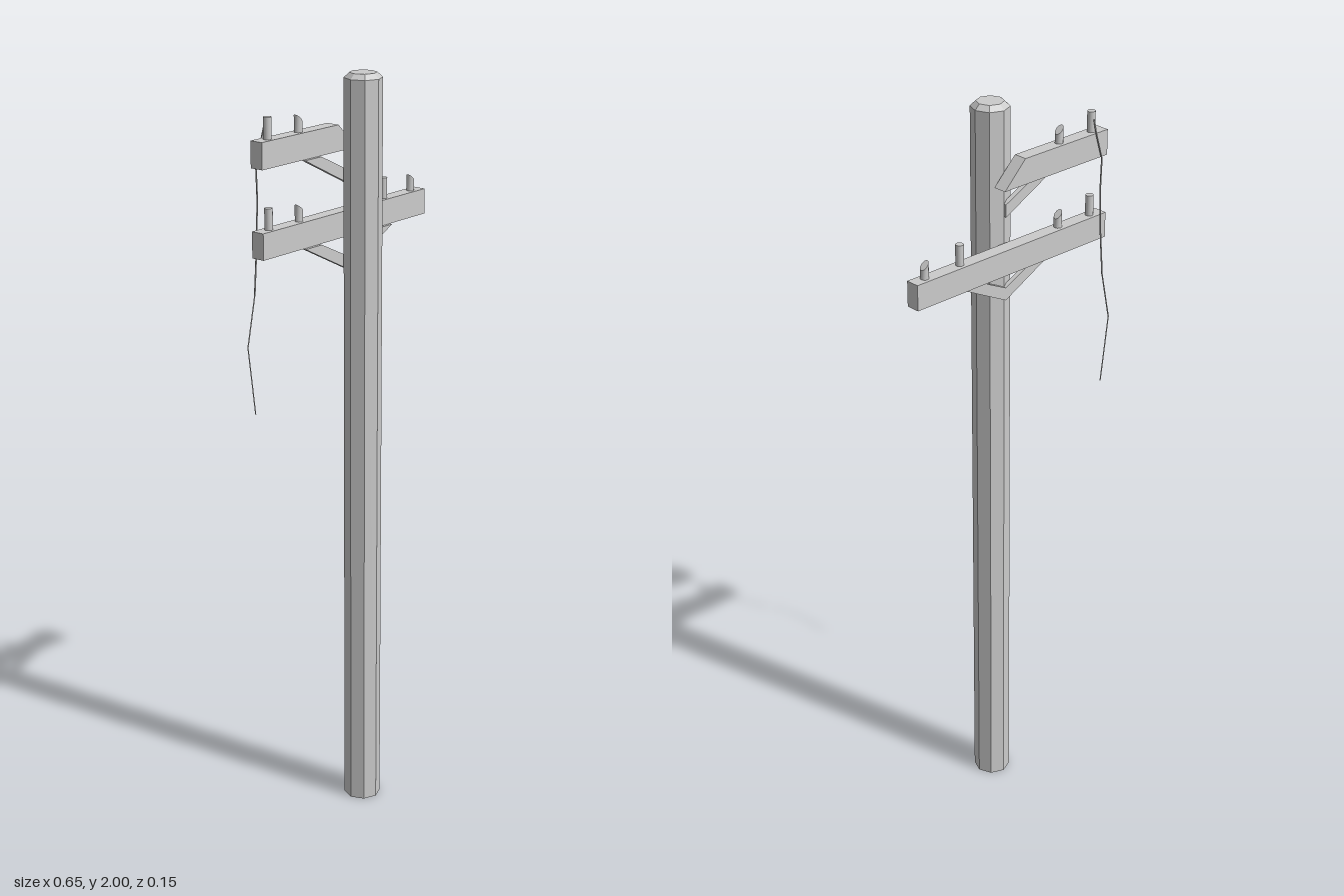
import * as THREE from 'three';

const material = new THREE.MeshStandardMaterial({ color: 0xcccccc, flatShading: true });
const smooth = new THREE.MeshStandardMaterial({ color: 0xcccccc });
const openMaterial = new THREE.MeshStandardMaterial({ color: 0xcccccc, flatShading: true, side: THREE.DoubleSide });

const POLE_X = 0.006, POLE_Z = 0.024, PIN_Z = -0.045;

// Flat outline in x/y, extruded from z0 to z1
function slab(name, points, z0, z1) {
  const shape = new THREE.Shape(points.map(([x, y]) => new THREE.Vector2(x, y)));
  const geometry = new THREE.ExtrudeGeometry(shape, { depth: z1 - z0, bevelEnabled: false });
  geometry.translate(0, 0, z0);
  const mesh = new THREE.Mesh(geometry, material);
  mesh.name = name;
  return mesh;
}

// Insulator pin; a broken one has its top sheared, high on the -x side
function pin(x, base, broken) {
  const radius = 0.0105, height = broken ? 0.034 : 0.054;
  const geometry = new THREE.CylinderGeometry(radius, radius, height, 14);
  geometry.translate(0, height / 2, 0);
  if (broken) {
    const p = geometry.attributes.position;
    for (let i = 0; i < p.count; i++) {
      if (p.getY(i) > height / 2) p.setY(i, height - p.getX(i) * 0.95);
    }
    geometry.computeVertexNormals();
  }
  const mesh = new THREE.Mesh(geometry, smooth);
  mesh.position.set(x, base, PIN_Z);
  mesh.name = broken ? 'brokenInsulator' : 'insulator';
  return mesh;
}

// Diagonal strut from the pole centre up to the underside of an arm
function brace(side, y) {
  const points = [[0, y - 0.087], [0, y - 0.053], [0.109, y], [0.171, y]]
    .map(([x, h]) => [POLE_X + side * x, h]);
  return slab('brace', points, -0.032, -0.019);
}

export function createModel() {
  const model = new THREE.Group();
  model.name = 'utilityPole';

  // Octagonal pole with chamfered top and open foot
  const profile = [[0.049, 0], [0.049, 1.987], [0.035, 2], [0, 2]].map(([r, y]) => new THREE.Vector2(r, y));
  const pole = new THREE.Mesh(new THREE.LatheGeometry(profile, 8), openMaterial);
  pole.position.set(POLE_X, 0, POLE_Z);
  pole.name = 'pole';
  model.add(pole);

  // Whole lower arm and snapped upper arm
  const lower = 1.578, upper = 1.801, thick = 0.067;
  const arms = [
    ['lowerArm', lower, 0.324, 0.324],
    ['brokenUpperArm', upper, 0.04, -0.028],
  ];
  for (const [name, y, endBottom, endTop] of arms) {
    model.add(slab(name, [[-0.312, y], [endBottom, y], [endTop, y + thick], [-0.312, y + thick]], -0.064, -0.027));
    model.add(pin(-0.272, y + thick, false), pin(-0.16, y + thick, true), brace(-1, y));
  }
  model.add(pin(0.172, lower + thick, false), pin(0.285, lower + thick, true), brace(1, lower));

  // Loose hanging wire, as straight thin segments
  const path = [
    [-0.272, 1.905, -0.054], [-0.267, 1.87, -0.068], [-0.285, 1.8, -0.072], [-0.279, 1.72, -0.075],
    [-0.283, 1.6, -0.076], [-0.298, 1.48, -0.071], [-0.324, 1.35, -0.073], [-0.3, 1.17, -0.073],
  ].map((p) => new THREE.Vector3(...p));
  const wire = new THREE.Group();
  wire.name = 'wire';
  const up = new THREE.Vector3(0, 1, 0);
  for (let i = 1; i < path.length; i++) {
    const along = path[i].clone().sub(path[i - 1]);
    const segment = new THREE.Mesh(new THREE.CylinderGeometry(0.002, 0.002, along.length(), 4), material);
    segment.position.copy(path[i]).add(path[i - 1]).multiplyScalar(0.5);
    segment.quaternion.setFromUnitVectors(up, along.normalize());
    segment.name = 'wireSegment';
    wire.add(segment);
  }
  model.add(wire);

  return model;
}
